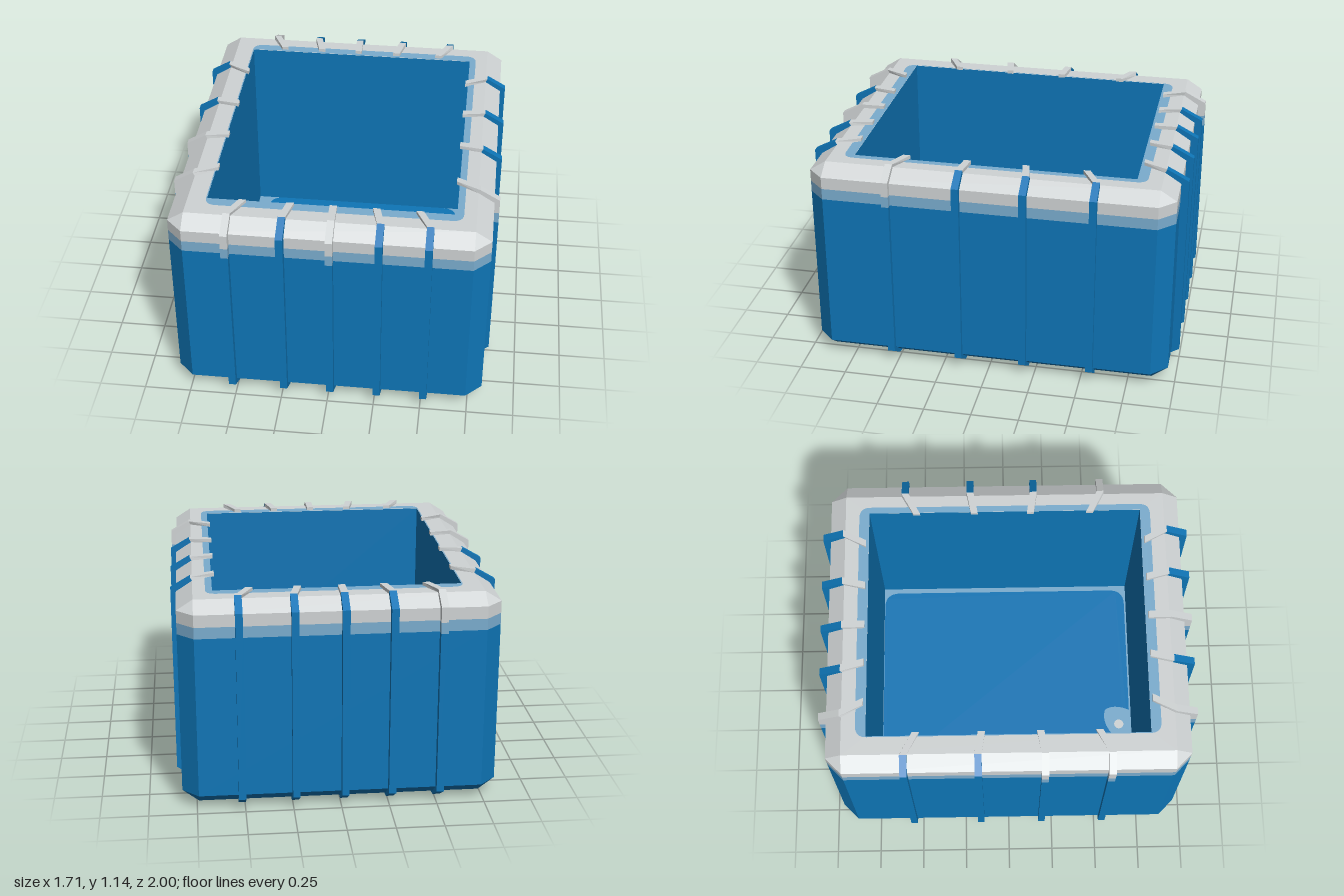
import * as THREE from 'three';

const mat = (name, color, side = THREE.FrontSide) => {
  const m = new THREE.MeshStandardMaterial({ color, side });
  m.name = name;
  return m;
};

// Skin a list of equal-sized rings; mats[i] colours the band between ring i and i + 1.
function loft(name, rings, mats, caps = false) {
  const pos = [], geo = new THREE.BufferGeometry(), used = [...new Set(mats)];
  const tri = (a, b, c) => {
    const area = b.clone().sub(a).cross(c.clone().sub(a)).length();
    if (area > 1e-9) pos.push(...a.toArray(), ...b.toArray(), ...c.toArray());
  };
  const fan = (r) => { for (let i = 1; i < r.length - 1; i++) tri(r[0], r[i], r[i + 1]); };
  for (let k = 0; k < rings.length - 1; k++) {
    const start = pos.length / 3, p = rings[k], q = rings[k + 1], n = p.length;
    if (caps && k === 0) fan([...p].reverse());
    for (let i = 0; i < n; i++) {
      const j = (i + 1) % n;
      tri(p[i], p[j], q[j]);
      tri(p[i], q[j], q[i]);
    }
    if (caps && k === rings.length - 2) fan(q);
    geo.addGroup(start, pos.length / 3 - start, used.indexOf(mats[k]));
  }
  geo.setAttribute('position', new THREE.Float32BufferAttribute(pos, 3));
  geo.computeVertexNormals();
  const mesh = new THREE.Mesh(geo, used);
  mesh.name = name;
  return mesh;
}

// Horizontal rectangle with cut corners.
const ring = (x, z, y, c = 0) => [
  [c - x, z], [x - c, z], [x, z - c], [x, c - z],
  [x - c, -z], [c - x, -z], [-x, c - z], [-x, z - c],
].map(([a, b]) => new THREE.Vector3(a, y, b));

// Rounded rectangle outline in plan.
function roundRect(x0, x1, y0, y1, r, Type = THREE.Shape) {
  const s = new Type();
  s.moveTo(x0 + r, y0);
  s.lineTo(x1 - r, y0);
  s.quadraticCurveTo(x1, y0, x1, y0 + r);
  s.lineTo(x1, y1 - r);
  s.quadraticCurveTo(x1, y1, x1 - r, y1);
  s.lineTo(x0 + r, y1);
  s.quadraticCurveTo(x0, y1, x0, y1 - r);
  s.lineTo(x0, y0 + r);
  s.quadraticCurveTo(x0, y0, x0 + r, y0);
  return s;
}

// Flat horizontal face made from a plan shape.
function plate(name, shape, y, material, down = false) {
  const geo = new THREE.ShapeGeometry(shape, 8);
  geo.rotateX(down ? Math.PI / 2 : -Math.PI / 2);
  const mesh = new THREE.Mesh(geo, material);
  mesh.position.y = y;
  mesh.name = name;
  return mesh;
}

export function createModel() {
  const model = new THREE.Group();
  model.name = 'openBox';
  const blue = mat('blue', 0x0e75b6);
  const pale = mat('paleBlue', 0x7aacce);
  const grey = mat('lightGrey', 0xcfd3d4);

  const X = 0.825, Z = 0.96, C = 0.085;
  const HX = 0.64, HZ = 0.745;
  const low = 0.015, top = 1.125, floorY = 0.04;

  // Bevelled outer shell with painted bands under the rim
  model.add(loft('outerShell', [
    ring(X - C, Z - C, low),
    ring(X, Z, 0.08, C),
    ring(X, Z, 0.945, C),
    ring(X, Z, 1.005, C),
    ring(X, Z, 1.07, C),
    ring(X - C, Z - C, top),
  ], [blue, blue, pale, grey, grey]));

  // Base, rim and the pale edge round the opening
  model.add(plate('base', roundRect(C - X, X - C, C - Z, Z - C, 0), low, blue, true));
  const hole = () => roundRect(-HX, HX, -HZ, HZ, 0, THREE.Path);
  const rim = roundRect(C - X, X - C, C - Z, Z - C, 0);
  rim.holes.push(hole());
  model.add(plate('rim', rim, top, grey));
  const edge = roundRect(-HX - 0.005, 0.675, -0.8, 0.8, 0.06);
  edge.holes.push(hole());
  model.add(plate('rimEdge', edge, top + 0.002, pale));

  // Inner walls and floor
  model.add(loft('innerWalls', [ring(HX, HZ, top), ring(HX, HZ, floorY)], [blue]));
  model.add(plate('floorEdge', roundRect(-HX, HX, -HZ, HZ, 0), floorY, pale));
  model.add(plate('floor', roundRect(-0.57, 0.61, -0.735, 0.742, 0.09), floorY + 0.003, blue));
  const patch = new THREE.Shape();
  patch.moveTo(-0.39, -0.735);
  patch.bezierCurveTo(-0.36, -0.63, -0.25, -0.56, -0.17, -0.59);
  patch.quadraticCurveTo(-0.13, -0.64, -0.17, -0.735);
  model.add(plate('floorPatch', patch, floorY + 0.006, pale));
  const spot = new THREE.Mesh(new THREE.CircleGeometry(0.028, 16).rotateX(-Math.PI / 2), grey);
  spot.position.set(-0.26, floorY + 0.009, 0.67);
  spot.name = 'floorSpot';
  model.add(spot);

  // Strap wrapping from under the base, up one side and over the rim
  function strap(D, rise, across, banded) {
    const w = 0.019;
    // distance out and height of the inner line, then of the outer line, then sideways scale
    const path = [
      [D - 0.45, low, D - 0.45, 0.003, 0.9],
      [D - C, low, D - C + 0.01, 0, 1],
      [D, 0.08, D + rise, 0.07, 1],
      [D, 0.945, D + rise, 0.945, 1],
      [D, 1.005, D + rise, 1.005, 1],
      [D, 1.07, D + rise, 1.085, 1],
      [D - C, top, D - C + 0.01, top + 0.02, 1],
      [D - 0.2, top, D - 0.2, top + 0.02, 0.88],
    ];
    const rings = path.map(([bo, by, oo, oy, k]) => [
      new THREE.Vector3(across * k - w, oy, oo),
      new THREE.Vector3(across * k + w, oy, oo),
      new THREE.Vector3(across * k + w, by, bo),
      new THREE.Vector3(across * k - w, by, bo),
    ]);
    const mats = banded
      ? [blue, blue, blue, pale, grey, grey, grey]
      : [blue, blue, blue, blue, blue, blue, grey];
    return loft('strap', rings, mats, true);
  }

  // Each side: name, turn, distance out, strap positions, which ones carry the bands
  const sides = [
    ['frontStraps', 0, Z, 0.04, [-0.515, -0.235, 0.015, 0.265, 0.515], [0, 2]],
    ['leftStraps', Math.PI / 2, X, 0.028, [-0.53, -0.16, 0.19, 0.55], [0]],
    ['backStraps', Math.PI, Z, 0.04, [-0.515, -0.235, 0.02, 0.265, 0.515], [4]],
    ['rightStraps', -Math.PI / 2, X, 0.028, [-0.55, -0.16, 0.19, 0.54], [2, 3]],
  ];
  for (const [name, turn, D, rise, places, banded] of sides) {
    const group = new THREE.Group();
    group.name = name;
    group.rotation.y = turn;
    places.forEach((p, i) => group.add(strap(D, rise, p, banded.includes(i))));
    model.add(group);
  }
  return model;
}
